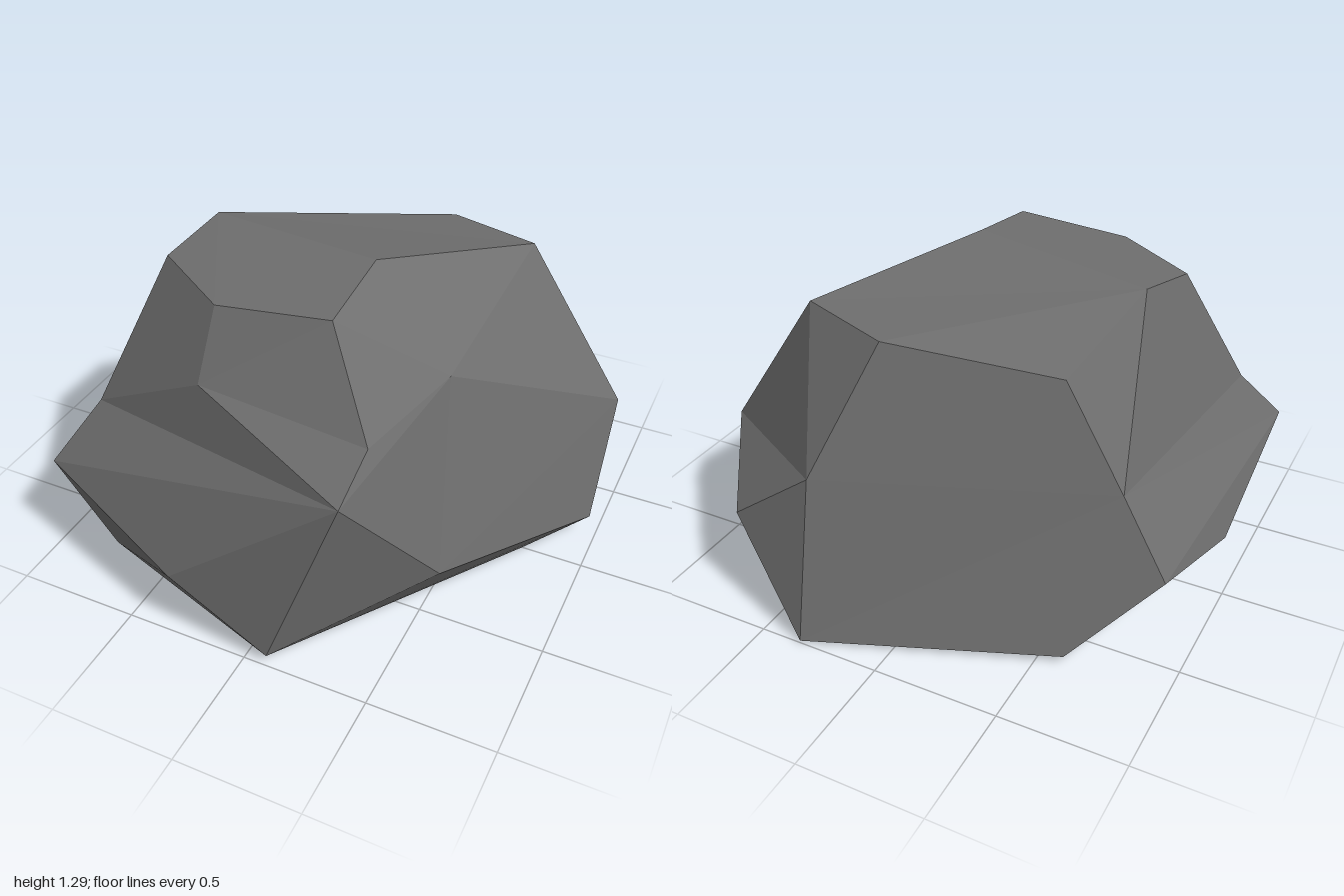
import * as THREE from 'three';

// Corner points of the boulder, grouped by height
const corners = {
  // base
  a: [-0.73, 0.07, 0.74], b: [0.09, 0.04, 0.99], c: [0.75, 0, 0],
  d: [0.33, 0.01, -1], e: [-0.6, 0.03, -0.65], f: [-0.97, 0.22, 0.07],
  // waist
  g: [-0.97, 0.43, 0.76], h: [-0.31, 0.28, 0.99], i: [0.6, 0.3, 0.57], j: [0.97, 0.1, -0.19],
  k: [0.85, 0.12, -0.51], l: [0.7, 0.38, -0.84], m: [-0.9, 0.33, -0.44],
  // shoulder
  n: [-0.83, 0.66, 0.59], o: [0.36, 0.8, 0.92], p: [0.52, 1.02, 0.34], q: [0.97, 0.54, -0.43],
  r: [0.36, 0.63, -0.83], s: [-0.71, 0.635, -0.41],
  // front ledge
  t: [-0.31, 0.95, 0.68], u: [0.38, 0.93, 0.73],
  // crown
  A: [-0.65, 1.2, 0.3], B: [-0.31, 1.2, 0.53], C: [0.14, 1.24, 0.5], D: [0.14, 1.29, 0.14],
  E: [0.55, 1.15, -0.46], F: [0.17, 1.13, -0.59], G: [-0.46, 1.03, -0.38], H: [-0.6, 1.25, 0],
};

// Pairs of loops (lower, upper), anticlockwise from above; a repeated corner makes a triangle
const bands = [
  ['abbbccdddeeff', 'ghbijkkldemmg'], // base to waist
  ['ghbiijklldemg', 'nooopqqqrrsss'], // waist to shoulder
  ['noopqrs', 'ntupqrs'],             // shoulder to ledge
  ['ntupppqrrsss', 'ABCCDEEEFGHA'],   // ledge to crown
];

function rockGeometry() {
  const positions = [];
  const triangle = (x, y, z) => {
    if (x === y || y === z || z === x) return;
    positions.push(...corners[x], ...corners[y], ...corners[z]);
  };
  for (const [low, high] of bands) {
    for (let i = 0; i < low.length; i++) {
      const next = (i + 1) % low.length;
      triangle(low[i], low[next], high[next]);
      triangle(low[i], high[next], high[i]);
    }
  }
  // Close a loop with a fan from its first corner
  const cap = (loop) => {
    for (let i = 1; i < loop.length - 1; i++) triangle(loop[0], loop[i], loop[i + 1]);
  };
  cap('HABCDEFG'); // top
  cap('edcbaf');   // underside

  const geometry = new THREE.BufferGeometry();
  geometry.setAttribute('position', new THREE.Float32BufferAttribute(positions, 3));
  geometry.computeVertexNormals();
  return geometry;
}

export function createModel() {
  const stone = new THREE.MeshStandardMaterial({ color: 0x6e6e6e, flatShading: true });
  stone.name = 'grey stone';

  const rock = new THREE.Mesh(rockGeometry(), stone);
  rock.name = 'rock';

  const model = new THREE.Group();
  model.name = 'boulder';
  model.add(rock);
  return model;
}
